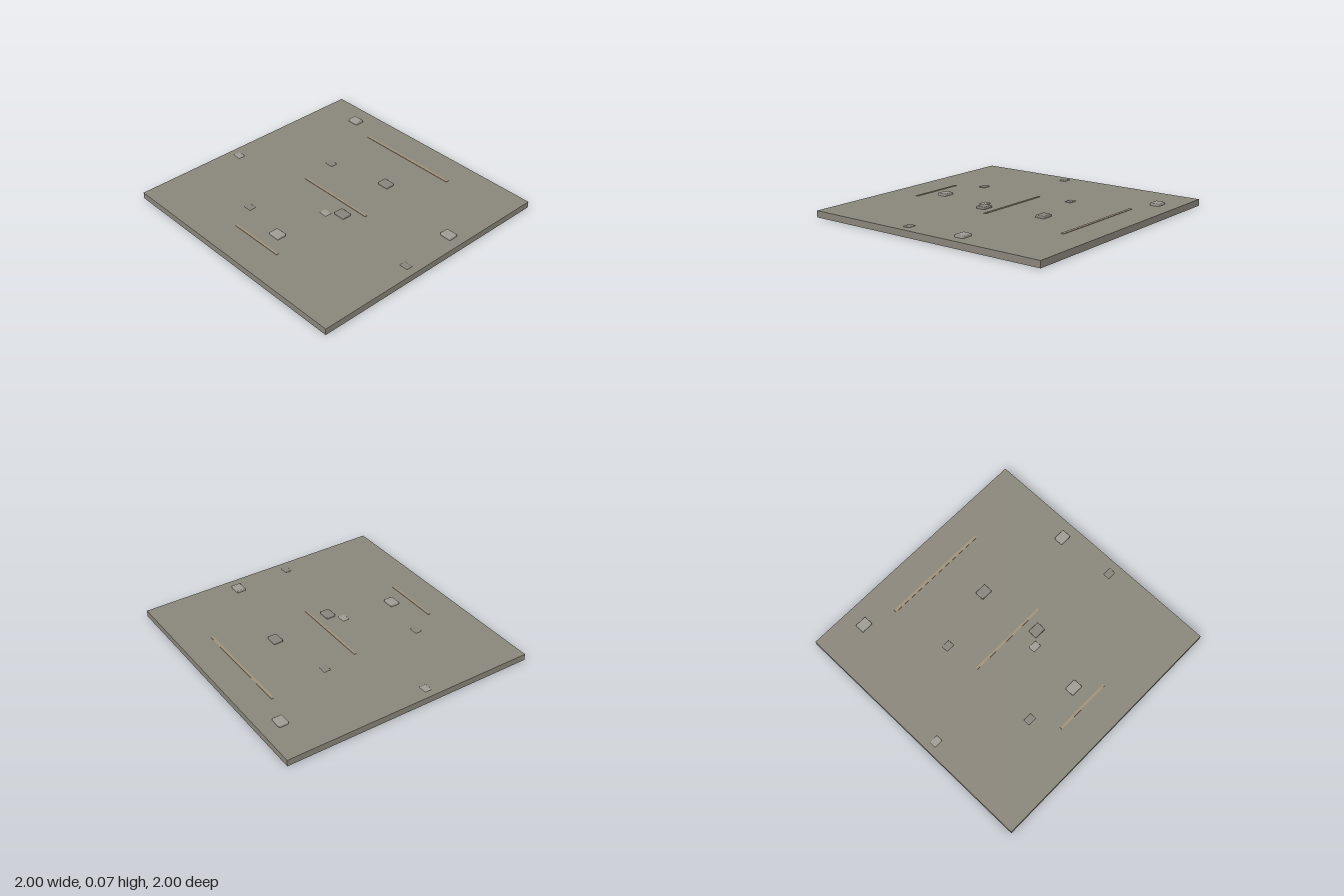
import * as THREE from 'three';
import { RoundedBoxGeometry } from 'three/addons/geometries/RoundedBoxGeometry.js';

const SLAB_TOP = 0.05;

export function createModel() {
  const model = new THREE.Group();
  model.name = 'groundTile';

  const mat = (color) => new THREE.MeshStandardMaterial({ color });
  const ground = mat(0x8a867b);
  const lightStone = mat(0x9f9c94);
  const darkStone = mat(0x87847c);
  const sand = mat(0x9f927c);

  const add = (name, geometry, material, x, y, z) => {
    const mesh = new THREE.Mesh(geometry, material);
    mesh.name = name;
    mesh.position.set(x, y, z);
    model.add(mesh);
  };

  // Ground slab
  add('groundSlab', new THREE.BoxGeometry(2, SLAB_TOP, 2), ground, 0, SLAB_TOP / 2, 0);

  // Half-sunk stones with softened edges: [x, z, material]
  const stones = (name, w, h, d, top, spots) => {
    const geometry = new RoundedBoxGeometry(w, h, d, 2, 0.007);
    spots.forEach(([x, z, m], i) => add(`${name}${i + 1}`, geometry, m, x, top - h / 2, z));
  };
  stones('largeStone', 0.095, 0.036, 0.075, 0.068, [
    [-0.66, -0.84, lightStone],
    [0.14, -0.39, darkStone],
    [0.875, -0.275, lightStone],
    [0.195, 0.105, darkStone],
    [0.06, 0.6, lightStone],
  ]);
  stones('smallStone', 0.07, 0.024, 0.055, 0.056, [
    [-0.345, -0.28, darkStone],
    [-0.91, 0.17, lightStone],
    [0.095, 0.18, lightStone],
    [0.905, 0.18, darkStone],
    [-0.33, 0.535, darkStone],
  ]);

  // Low ridges across the ground: [length, z, width]
  [[0.85, -0.755, 0.022], [0.65, -0.005, 0.018], [0.45, 0.742, 0.018]].forEach(([length, z, width], i) => {
    add(`ridge${i + 1}`, new THREE.BoxGeometry(length, 0.012, width), sand, 0, SLAB_TOP - 0.002, z);
  });

  return model;
}
